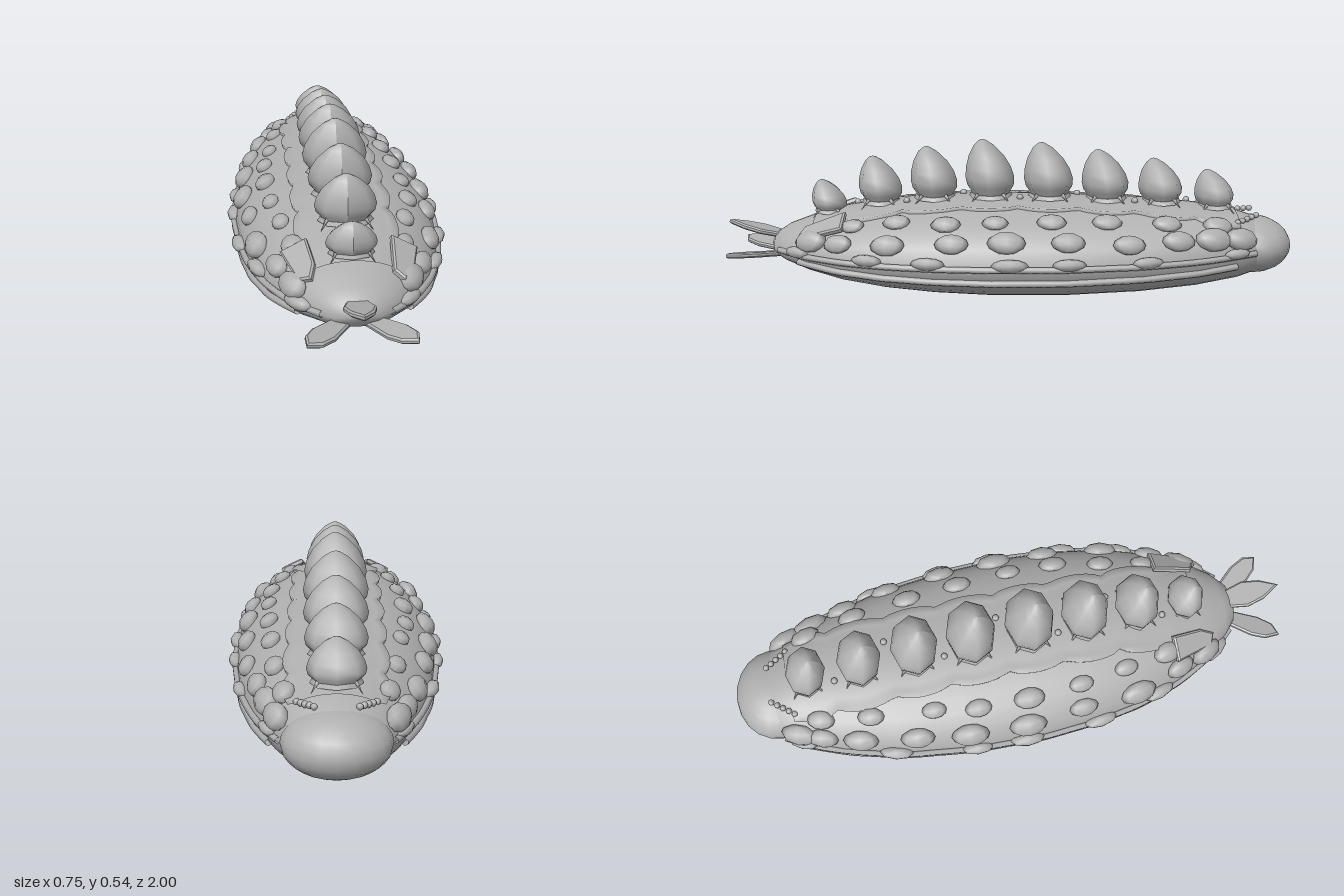
import * as THREE from 'three';

// Body stations: z, half width, underside y, waist y, top y
const STATIONS = [
  [-0.96, 0.06, 0.14, 0.165, 0.19], [-0.91, 0.13, 0.09, 0.165, 0.255], [-0.8, 0.195, 0.055, 0.16, 0.29],
  [-0.65, 0.255, 0.032, 0.15, 0.31], [-0.45, 0.31, 0.015, 0.145, 0.325], [-0.2, 0.342, 0.004, 0.14, 0.335],
  [0.05, 0.35, 0.004, 0.14, 0.338], [0.25, 0.335, 0.013, 0.14, 0.333], [0.42, 0.305, 0.028, 0.142, 0.318],
  [0.57, 0.255, 0.05, 0.145, 0.295], [0.69, 0.195, 0.08, 0.15, 0.268], [0.78, 0.125, 0.11, 0.155, 0.235],
  [0.825, 0.07, 0.13, 0.16, 0.205], [0.845, 0.0, 0.165, 0.168, 0.17],
];

function section(z) {
  let i = 0;
  while (i < STATIONS.length - 2 && z > STATIONS[i + 1][0]) i++;
  const a = STATIONS[i], b = STATIONS[i + 1];
  const t = THREE.MathUtils.clamp((z - a[0]) / (b[0] - a[0]), 0, 1);
  return a.map((v, k) => v + (b[k] - v) * t);
}

// Point on the body skin; angle 0 is the left side, PI/2 the top
function skin(z, angle, lift = 0) {
  const [, w, low, mid, high] = section(z);
  const s = Math.sin(angle), c = Math.cos(angle);
  const y = mid + (s > 0 ? high - mid : mid - low) * s;
  return new THREE.Vector3(w * c + lift * c, y + lift * s, z);
}

// Surface from rows of points, each row running anticlockwise seen from +z
function loft(rows) {
  const n = rows[0].length, index = [];
  for (let i = 0; i < rows.length - 1; i++) for (let j = 0; j < n - 1; j++) {
    const a = i * n + j, b = a + 1, c = a + n, d = c + 1;
    index.push(a, b, c, b, d, c);
  }
  const g = new THREE.BufferGeometry().setFromPoints(rows.flat());
  g.setIndex(index);
  g.computeVertexNormals();
  return g;
}

export function createModel() {
  const model = new THREE.Group();
  model.name = 'spinySeaSlug';
  const grey = new THREE.MeshStandardMaterial({ color: 0xb0b0b0 });
  grey.name = 'stone grey';
  grey.side = THREE.DoubleSide;

  const add = (name, geometry, parent = model) => {
    const m = new THREE.Mesh(geometry, grey);
    m.name = name;
    parent.add(m);
    return m;
  };
  const group = (name) => {
    const g = new THREE.Group();
    g.name = name;
    model.add(g);
    return g;
  };

  // Main body and rounded tail
  add('body', loft(STATIONS.map(([z]) =>
    Array.from({ length: 33 }, (_, j) => skin(z, j / 32 * Math.PI * 2)))));
  const tail = add('tail', new THREE.SphereGeometry(1, 20, 12));
  tail.scale.set(0.165, 0.1, 0.14);
  tail.position.set(0, 0.17, -0.86);

  // Eight dorsal spires: z, base y, peak y, radius
  const spires = [
    [-0.73, 0.3, 0.435, 0.09], [-0.54, 0.317, 0.475, 0.1], [-0.345, 0.327, 0.505, 0.107], [-0.145, 0.335, 0.53, 0.112],
    [0.062, 0.336, 0.54, 0.112], [0.26, 0.33, 0.515, 0.107], [0.45, 0.313, 0.48, 0.1], [0.633, 0.28, 0.395, 0.08],
  ];

  // Raised saddle along the back with a scalloped edge, one lobe to each spire
  const saddle = [];
  for (let i = 0; i <= 56; i++) {
    const z = -0.8 + i * 1.48 / 56;
    const lobe = Math.abs(Math.cos((z - 0.062) * Math.PI / 0.2));
    const half = Math.min(0.137 + 0.028 * Math.sqrt(lobe), section(z)[1] * 0.72);
    const a = Math.acos(half / section(z)[1]);
    const row = [skin(z, a, -0.006)];
    for (let j = 0; j <= 12; j++) {
      const p = skin(z, a + (Math.PI - 2 * a) * j / 12, 0.004);
      if (j === 0 || j === 12) p.y += 0.008;
      row.push(p);
    }
    row.push(skin(z, Math.PI - a, -0.006));
    saddle.push(row);
  }
  add('scallopedSaddle', loft(saddle));

  const spireRow = group('dorsalSpires');
  const profile = [[0, 0], [0.78, 0], [0.8, 0.1], [0.95, 0.2], [1, 0.34], [0.92, 0.52],
    [0.72, 0.72], [0.4, 0.9], [0.15, 0.98], [0, 1]].map(([r, y]) => new THREE.Vector2(r, y));
  spires.forEach(([z, base, peak, r]) => {
    const g = new THREE.LatheGeometry(profile, 8);
    const p = g.attributes.position;
    for (let i = 0; i < p.count; i++) {
      const y = p.getY(i);
      p.setXYZ(i, p.getX(i) * r, y * (peak - base), p.getZ(i) * r * 0.77 + 0.03 * y * y);
    }
    g.computeVertexNormals();
    add('spire', g, spireRow).position.set(0, base, z);
    // Collar and four small claws gripping the back
    const collar = add('spireCollar', new THREE.CylinderGeometry(r * 0.82, r * 0.9, 0.014, 8), spireRow);
    collar.scale.z = 0.77;
    collar.position.set(0, base + 0.008, z);
    for (const sx of [-1, 1]) for (const sz of [-1, 1]) {
      const claw = add('spireClaw', new THREE.ConeGeometry(0.007, 0.045, 5), spireRow);
      claw.position.set(sx * r * 0.72, base + 0.004, z + sz * r * 0.5);
      claw.rotation.set(sz * 2.5, 0, -sx * 0.5);
    }
  });

  // Beads between the spires and in two slanting rows by the tail
  const beads = group('beads');
  const bead = (x, y, z, r) => add('bead', new THREE.SphereGeometry(r, 8, 6), beads).position.set(x, y, z);
  for (let i = 0; i < 7; i++) {
    const z = (spires[i][0] + spires[i + 1][0]) / 2;
    bead(i % 2 ? 0.055 : -0.045, section(z)[4] + 0.006, z, 0.012);
  }
  for (const s of [-1, 1]) for (let i = 0; i < 5; i++) {
    bead(s * (0.065 + 0.013 * i), 0.283 - 0.004 * i, -0.865 + 0.018 * i, 0.011);
  }

  // Warts in three rows on each flank
  let seed = 7;
  const rand = () => (seed = (seed * 16807) % 2147483647) / 2147483647;
  const warts = group('flankWarts');
  const rows = [
    { angle: 0.84, size: [0.022, 0.032, 0.048], at: [-0.7, -0.53, -0.33, -0.15, 0.03, 0.2, 0.37, 0.52] },
    { angle: 0.47, size: [0.028, 0.037, 0.06], at: [-0.81, -0.7, -0.57, -0.4, -0.2, 0, 0.2, 0.4, 0.56, 0.68] },
    { angle: 0.14, size: [0.024, 0.02, 0.055], at: [-0.78, -0.46, -0.2, 0, 0.25, 0.47, 0.71] },
  ];
  for (const side of [1, -1]) for (const { angle, size, at } of rows) for (const z0 of at) {
    const z = z0 + (rand() - 0.5) * 0.035, k = 0.88 + rand() * 0.28;
    const a = angle + (rand() - 0.5) * 0.08;
    const p = skin(z, a, 0.004);
    const along = skin(z + 0.03, a).sub(skin(z - 0.03, a)).normalize();
    const up = skin(z, a + 0.05).sub(skin(z, a - 0.05)).normalize();
    const out = up.clone().cross(along).normalize();
    up.crossVectors(along, out);
    const g = new THREE.SphereGeometry(1, 8, 6);
    g.scale(size[0] * k, size[1] * k, size[2] * k);
    g.applyMatrix4(new THREE.Matrix4().makeBasis(out, up, along).setPosition(p));
    if (side < 0) g.rotateZ(0), g.scale(-1, 1, 1), g.index.array.reverse();
    g.computeVertexNormals();
    add('wart', g, warts);
  }

  // Two mantle ridges around each flank
  const ridges = group('mantleRidges');
  for (const side of [1, -1]) for (const [dy, start, end, r] of [[0.012, -0.85, 0.8, 0.011], [-0.032, -0.78, 0.72, 0.012]]) {
    const pts = [];
    for (let i = 0; i <= 20; i++) {
      const z = start + (end - start) * i / 20, p = skin(z, dy > 0 ? 0.07 : -0.25, 0.004);
      pts.push(new THREE.Vector3(side * p.x, p.y, z));
    }
    add('mantleRidge', new THREE.TubeGeometry(new THREE.CatmullRomCurve3(pts), 50, r, 6), ridges);
  }

  // Flat leaf with its root at the origin, pointing along +z
  const leaf = (outline, thick) => {
    const shape = new THREE.Shape(outline.map(([x, z]) => new THREE.Vector2(x, -z)));
    return new THREE.ExtrudeGeometry(shape, { depth: thick, bevelEnabled: true, bevelSize: 0.006, bevelThickness: 0.005, bevelSegments: 1 })
      .translate(0, 0, -thick / 2).rotateX(-Math.PI / 2);
  };

  // Head feelers: one raised in the middle, two spread sideways
  const middle = add('middleFeeler', leaf([[-0.02, -0.02], [0.02, -0.02], [0.043, 0.08], [0.03, 0.14], [0, 0.194],
    [-0.03, 0.14], [-0.043, 0.08]], 0.008));
  middle.position.set(0, 0.195, 0.8);
  middle.rotation.x = -0.24;
  for (const s of [1, -1]) {
    const feeler = add('sideFeeler', leaf([[-0.018, -0.03], [0.018, -0.03], [0.034, 0.1], [0.026, 0.155],
      [0, 0.185], [-0.026, 0.15], [-0.034, 0.1]], 0.008));
    feeler.position.set(s * 0.05, 0.137, 0.815);
    feeler.rotation.set(-0.08, s * 0.6, s * 0.15, 'YXZ');
    // Cheek plates behind the head
    const cheek = add('cheekPlate', leaf([[-0.04, -0.08], [0.04, -0.08], [0.035, 0.03], [0.012, 0.075], [-0.02, 0.06]], 0.012));
    cheek.position.set(s * 0.155, 0.252, 0.64);
    cheek.rotation.set(0.3, -s * 0.2, -s * 0.5, 'YXZ');
  }
  return model;
}
